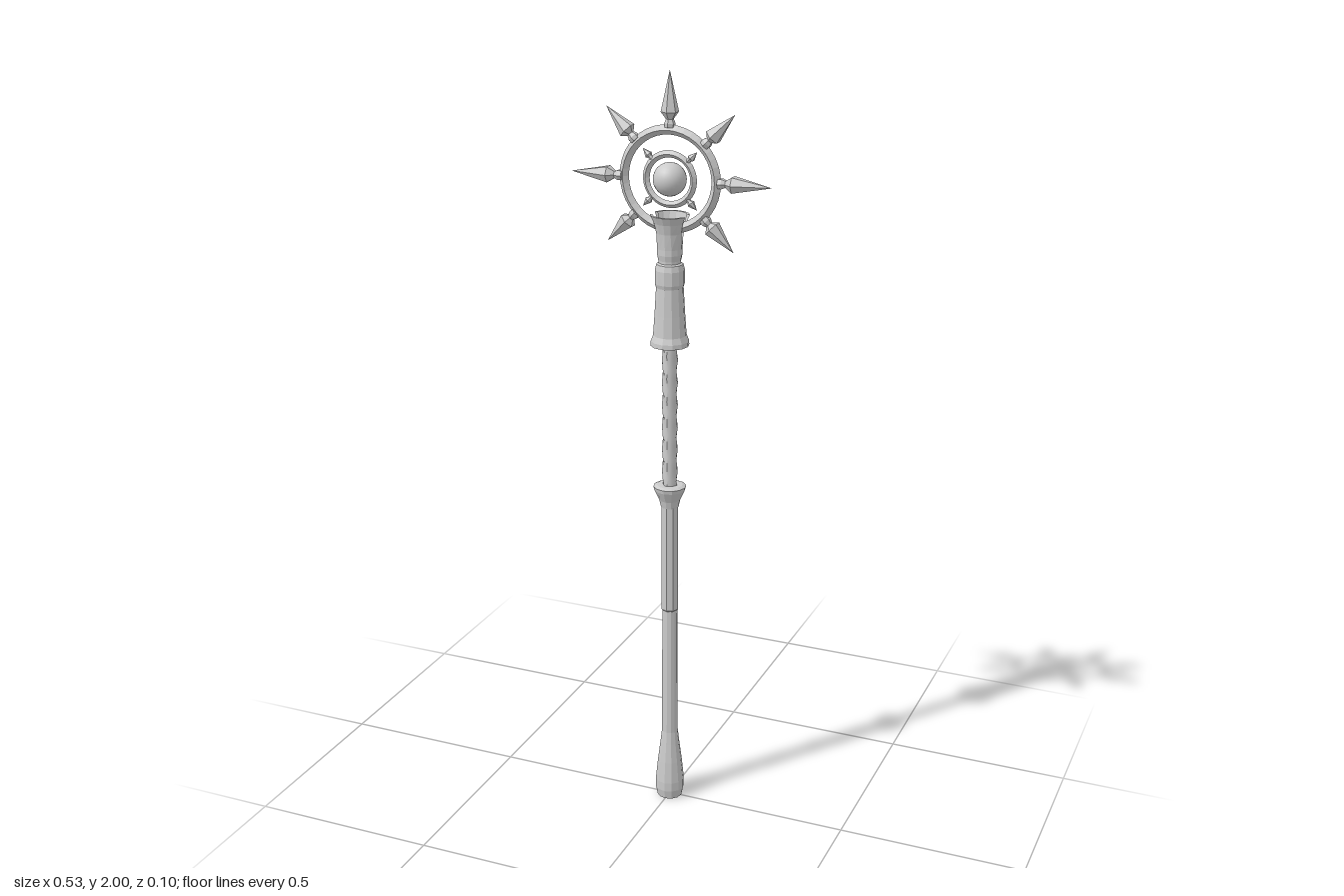
import * as THREE from 'three';

const SMOOTH = new THREE.MeshStandardMaterial({ color: 0xcccccc, side: THREE.DoubleSide });
const FLAT = new THREE.MeshStandardMaterial({ color: 0xcccccc, flatShading: true, side: THREE.DoubleSide });
const HUB_Y = 1.733;

function add(parent, name, geometry, material = FLAT) {
  const mesh = new THREE.Mesh(geometry, material);
  mesh.name = name;
  parent.add(mesh);
  return mesh;
}

// Profiles are [radius, height] pairs, bottom to top
const lathe = (pairs, sides) =>
  new THREE.LatheGeometry(pairs.map(([r, y]) => new THREE.Vector2(r, y)), sides);

// Grip with a rounded-square section that winds upward
function twistedGrip(y0, y1) {
  const g = new THREE.CylinderGeometry(1, 1, y1 - y0, 16, 72, true);
  g.translate(0, (y0 + y1) / 2, 0);
  const p = g.attributes.position;
  for (let i = 0; i < p.count; i++) {
    const a = Math.atan2(p.getZ(i), p.getX(i));
    const turn = (p.getY(i) - y0) * 26;
    const r = 0.0185 + 0.002 * Math.cos(4 * (a - turn));
    p.setXYZ(i, r * Math.cos(a), p.getY(i), r * Math.sin(a));
  }
  g.computeVertexNormals();
  return g;
}

// Half of the cup; its edges draw back from z = 0 to leave a V-shaped slot
function cupHalf() {
  const g = lathe([[0.029, 1.53], [0.032, 1.545], [0.032, 1.56], [0.035, 1.6],
    [0.041, 1.625], [0.05, 1.645], [0.043, 1.645], [0.03, 1.6], [0, 1.57]], 6);
  const p = g.attributes.position;
  for (let i = 0; i < p.count; i++) {
    const x = p.getX(i), y = p.getY(i), z = p.getZ(i);
    const r = Math.hypot(x, z);
    const slot = 0.016 * Math.max(0, (y - 1.56) / 0.085);
    const gap = r > 0 ? Math.asin(Math.min(1, slot / r)) : 0;
    const step = Math.floor(i / 9) / 6;
    const a = gap + step * (Math.PI - 2 * gap);
    p.setXYZ(i, r * Math.cos(a), y, r * Math.sin(a));
  }
  g.computeVertexNormals();
  return g;
}

export function createModel() {
  const root = new THREE.Group();
  root.name = 'staff';

  // Lower handle
  add(root, 'pommel', lathe([[0, 0], [0.034, 0], [0.039, 0.025], [0.039, 0.05], [0.033, 0.11],
    [0.026, 0.165], [0.022, 0.2], [0.02, 0.58]], 12), FLAT);
  add(root, 'handle', lathe([[0.019, 0.565], [0.0235, 0.57], [0.0235, 0.87]], 8));
  add(root, 'handleFlare', lathe([[0.0235, 0.865], [0.028, 0.885], [0.041, 0.913],
    [0.043, 0.923], [0.034, 0.927], [0, 0.927]], 12));

  // Twisted grip
  add(root, 'twistedGrip', twistedGrip(0.92, 1.33), SMOOTH);

  // Bell-shaped socket with a collar band
  add(root, 'socket', lathe([[0, 1.32], [0.04, 1.312], [0.05, 1.308], [0.049, 1.32], [0.043, 1.335],
    [0.039, 1.39], [0.035, 1.46], [0.038, 1.47], [0.038, 1.505], [0.034, 1.52],
    [0.028, 1.523], [0.028, 1.535], [0, 1.535]], 12));

  // Slotted cup, two mirrored halves
  const cup = new THREE.Group();
  cup.name = 'cup';
  root.add(cup);
  for (const side of [0, 1]) {
    add(cup, side ? 'cupBack' : 'cupFront', cupHalf()).rotation.y = side * Math.PI;
  }

  // Sun wheel
  const wheel = new THREE.Group();
  wheel.name = 'sunWheel';
  wheel.position.y = HUB_Y;
  root.add(wheel);
  add(wheel, 'outerRing', new THREE.TorusGeometry(0.1225, 0.0125, 4, 40));
  add(wheel, 'innerRing', new THREE.TorusGeometry(0.063, 0.009, 4, 32));
  add(wheel, 'orb', new THREE.SphereGeometry(0.042, 24, 16), SMOOTH);

  // Outer spikes: long on the axes, shorter on the diagonals, none at the bottom
  const spike = (len) => lathe([[0, 0.125], [0.013, 0.128], [0.014, 0.138], [0.0095, 0.148],
    [0.0225, len > 0.25 ? 0.166 : 0.16], [0, len]], 6);
  for (let i = -3; i <= 3; i++) {
    add(wheel, 'outerSpike', spike(i % 2 ? 0.24 : 0.267)).rotation.z = (i * Math.PI) / 4;
  }

  // Small diagonal spikes on the inner ring
  for (let i = 0; i < 4; i++) {
    add(wheel, 'innerSpike', lathe([[0.006, 0.066], [0.006, 0.074], [0.01, 0.08], [0, 0.102]], 6))
      .rotation.z = Math.PI / 4 + (i * Math.PI) / 2;
  }
  return root;
}
